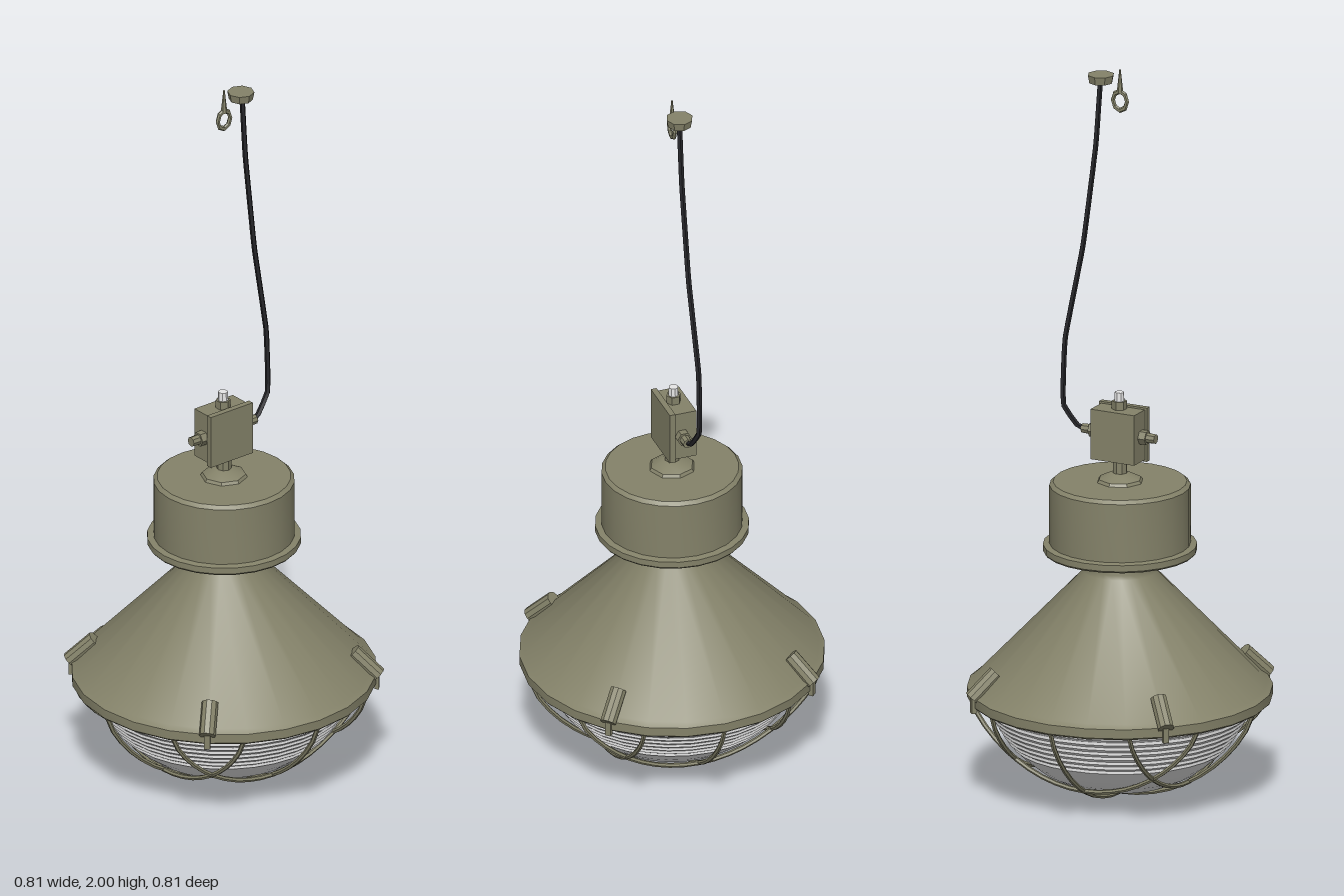
import * as THREE from 'three';
import { toCreasedNormals } from 'three/addons/utils/BufferGeometryUtils.js';

const material = (name, color) => {
  const m = new THREE.MeshStandardMaterial({ color });
  m.name = name;
  return m;
};
const paint = material('olive paint', 0x848269);
const glass = material('pale glass', 0xe6e6e6);
const rubber = material('black rubber', 0x26262a);

export function createModel() {
  const model = new THREE.Group();
  model.name = 'pendantLamp';

  const add = (name, geometry, mat, x = 0, y = 0, z = 0, parent = model) => {
    const mesh = new THREE.Mesh(toCreasedNormals(geometry, 0.55), mat);
    mesh.name = name;
    mesh.position.set(x, y, z);
    parent.add(mesh);
    return mesh;
  };
  // Turned parts: [radius, height] pairs listed from the bottom up
  const turned = (name, profile, mat = paint, sides = 24) =>
    add(name, new THREE.LatheGeometry(profile.map(([r, y]) => new THREE.Vector2(r, y)), sides), mat);

  // Conical shade with its rim and neck
  turned('shade', [[0.365, 0.285], [0.365, 0.27], [0.4, 0.27], [0.405, 0.275], [0.405, 0.3], [0.39, 0.31],
    [0.097, 0.618], [0.093, 0.63], [0.093, 0.69]]);

  // Ballast housing: grooved underside, flange, drum and cap
  turned('housing', [[0.09, 0.685], [0.125, 0.685], [0.13, 0.675], [0.145, 0.675], [0.15, 0.685], [0.17, 0.685],
    [0.175, 0.67], [0.2, 0.67], [0.204, 0.675], [0.204, 0.692], [0.187, 0.695], [0.187, 0.855], [0.177, 0.864], [0, 0.864]]);
  turned('housingBoss', [[0.064, 0.862], [0.058, 0.872], [0.025, 0.888], [0, 0.888]], paint, 8);
  turned('stem', [[0.02, 0.88], [0.02, 0.935]], paint, 8);

  // Glass bowl: smooth bottom, fine ribs towards the rim
  const bowl = [[0, 0.022], [0.08, 0.027], [0.15, 0.046], [0.21, 0.076], [0.25, 0.107], [0.277, 0.133]];
  const ribs = 9;
  for (let i = 0; i < ribs; i++) {
    const y = 0.137 + i * 0.0162;
    const r = 0.281 + 0.087 * (i / ribs) ** 0.85;
    bowl.push([r, y], [r + 0.006, y + 0.004], [r + 0.006, y + 0.012]);
  }
  turned('glassBowl', bowl, glass, 32);

  // Wire guard: three wires each way, all lying on one shallow dome
  const guard = new THREE.Group();
  guard.name = 'wireGuard';
  model.add(guard);
  for (const turn of [0, Math.PI / 2]) {
    for (const offset of [-0.205, 0, 0.205]) {
      const half = Math.sqrt(0.395 ** 2 - offset ** 2);
      const points = [];
      for (let i = 0; i <= 10; i++) {
        const s = -half * Math.cos((i / 10) * Math.PI);
        const fall = Math.max(0, 1 - (s * s + offset * offset) / 0.395 ** 2) ** 0.75;
        points.push(new THREE.Vector3(offset, 0.274 - 0.267 * fall, s));
      }
      const wire = add('guardWire', new THREE.TubeGeometry(new THREE.CatmullRomCurve3(points), 20, 0.0065, 6), paint, 0, 0, 0, guard);
      wire.rotation.y = turn;
    }
  }

  // Four clips holding the guard to the rim
  for (let i = 0; i < 4; i++) {
    const clip = new THREE.Group();
    clip.name = 'clip';
    clip.rotation.y = Math.PI / 4 + (i * Math.PI) / 2;
    model.add(clip);
    const lever = add('clipLever', new THREE.CylinderGeometry(0.022, 0.022, 0.094, 10), paint, 0.376, 0.332, 0, clip);
    lever.rotation.z = 0.8;
    add('clipHook', new THREE.BoxGeometry(0.012, 0.04, 0.016), paint, 0.406, 0.28, 0, clip);
  }

  // Junction box with lid and screw glands
  const box = new THREE.Group();
  box.name = 'junctionBox';
  box.position.set(0, 0.996, -0.004);
  model.add(box);
  add('boxBody', new THREE.BoxGeometry(0.13, 0.138, 0.062), paint, 0, 0, -0.009, box);
  add('boxLid', new THREE.BoxGeometry(0.142, 0.148, 0.016), paint, 0, 0, 0.029, box);
  const gland = (name, angle, distance, tipMaterial) => {
    const g = new THREE.Group();
    g.name = name;
    g.rotation.z = angle;
    box.add(g);
    add('glandNut', new THREE.CylinderGeometry(0.02, 0.02, 0.022, 6), paint, 0, distance, 0, g);
    add('glandTip', new THREE.CylinderGeometry(0.013, 0.014, 0.026, 8), tipMaterial, 0, distance + 0.022, 0, g);
  };
  gland('topGland', 0, 0.08, glass);
  gland('rightGland', Math.PI / 2, 0.074, paint);
  gland('leftGland', -Math.PI / 2, 0.074, paint);

  // Cable rising from the left gland to the ceiling cap, in nearly straight runs
  const path = new THREE.CatmullRomCurve3([
    [0.095, 0.992, -0.003], [0.12, 1.0, -0.008], [0.162, 1.06, -0.016], [0.156, 1.24, -0.016],
    [0.108, 1.5, -0.006], [0.073, 1.78, 0], [0.06, 1.965, 0.002],
  ].map((p) => new THREE.Vector3(...p)), false, 'catmullrom', 0.15);
  add('cable', new THREE.TubeGeometry(path, 32, 0.0075, 5), rubber);

  // Ceiling cap and the separate hanging eye
  add('ceilingCap', new THREE.CylinderGeometry(0.036, 0.032, 0.022, 8), paint, 0.057, 1.968, 0);
  const eye = add('hangingEye', new THREE.TorusGeometry(0.021, 0.006, 6, 8), paint, 0, 1.914, 0);
  eye.scale.y = 1.25;
  add('hangingShank', new THREE.CylinderGeometry(0.002, 0.009, 0.065, 6), paint, 0, 1.9675, 0);

  return model;
}
